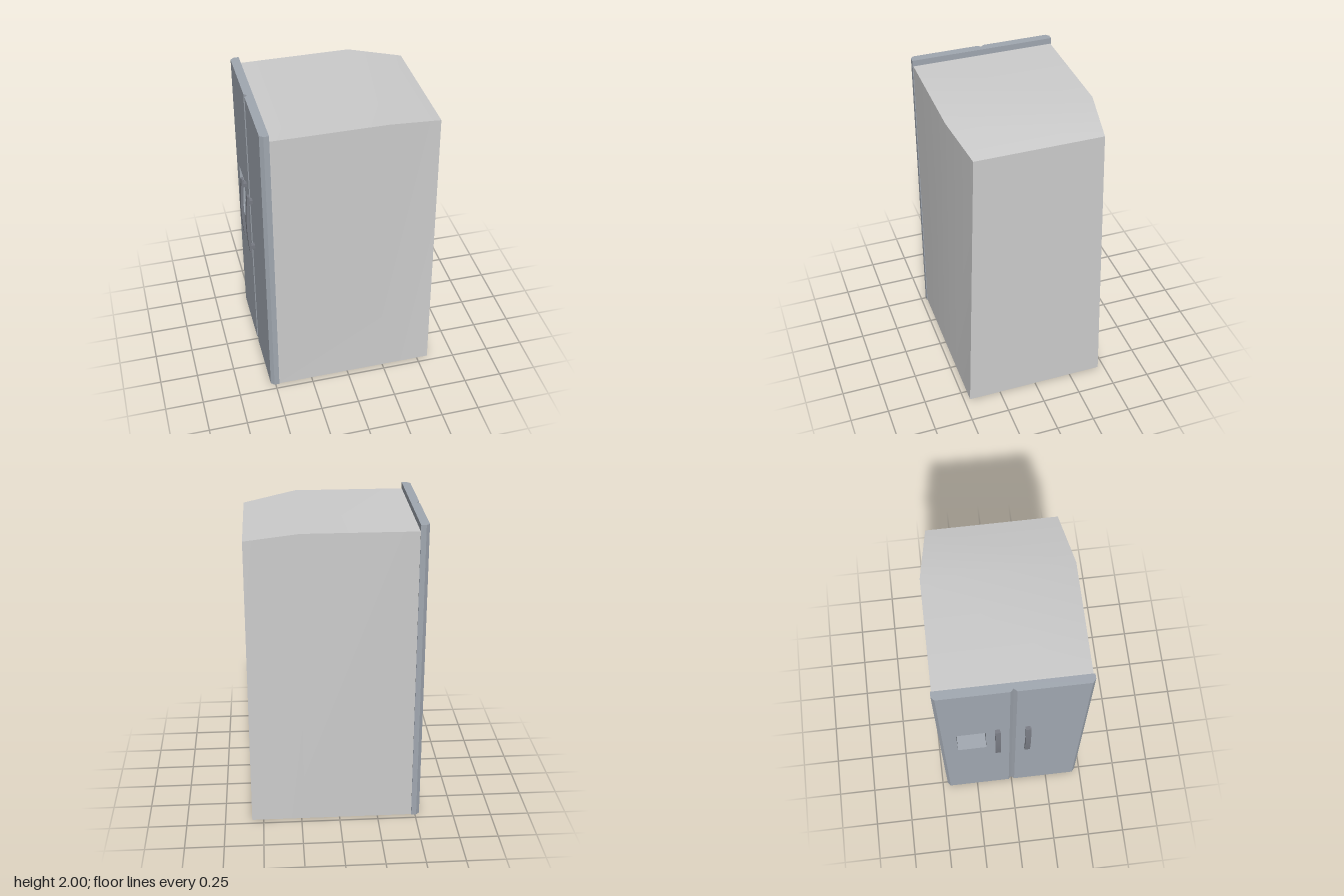
import * as THREE from 'three';
import { toCreasedNormals } from 'three/addons/utils/BufferGeometryUtils.js';

const bodyMat = new THREE.MeshStandardMaterial({ color: 0xcccccc });
const doorMat = new THREE.MeshStandardMaterial({ color: 0xa0a7b0 });
const handleMat = new THREE.MeshStandardMaterial({ color: 0x777a82 });

const FRONT = -0.53, BACK = -0.475; // door faces along x
const polygon = (pts) => new THREE.Shape(pts.map(([a, b]) => new THREE.Vector2(a, b)));
const rect = (a0, a1, b0, b1) => [[a0, b0], [a1, b0], [a1, b1], [a0, b1]];

function add(parent, name, geometry, material) {
  const mesh = new THREE.Mesh(geometry, material);
  mesh.name = name;
  parent.add(mesh);
  return mesh;
}

// Extrude a (z, y) shape towards -x, starting at xBack
function extrudeX(shape, depth, xBack) {
  return new THREE.ExtrudeGeometry(shape, { depth, bevelEnabled: false })
    .rotateY(-Math.PI / 2).translate(xBack, 0, 0);
}

// Extrude an (x, z) outline from y = 0 up to the given height
function extrudeY(pts, height) {
  return new THREE.ExtrudeGeometry(polygon(pts), { depth: height, bevelEnabled: false })
    .rotateX(Math.PI / 2).translate(0, height, 0);
}

// Cabinet shell: rectangular sections along x, narrowing at the upper rear
function cabinetGeometry() {
  const sections = [[BACK, 0.46, 1.96], [0.235, 0.46, 1.96], [0.575, 0.4, 1.9]]; // x, half top width, height
  const pos = [], index = [];
  for (const [x, w, h] of sections) pos.push(x, 0, 0.46, x, h, w, x, h, -w, x, 0, -0.46);
  for (let s = 0; s < 2; s++) {
    for (let i = 0; i < 4; i++) {
      const a = s * 4 + i, b = s * 4 + (i + 1) % 4;
      index.push(a, a + 4, b + 4, a, b + 4, b);
    }
  }
  index.push(8, 11, 10, 8, 10, 9); // rear panel
  const geo = new THREE.BufferGeometry();
  geo.setAttribute('position', new THREE.Float32BufferAttribute(pos, 3));
  geo.setIndex(index);
  return toCreasedNormals(geo, 0.5);
}

// Bowed grip with two mounting posts, centred on z = 0
function makeHandle(name) {
  const handle = new THREE.Group();
  handle.name = name;
  const outer = [], inner = [];
  const N = 10;
  for (let i = 0; i <= N; i++) {
    const t = (i / N) * 2 - 1, y = 1.105 + 0.225 * t;
    outer.push([-0.577 + 0.014 * t * t, y]);
    inner.unshift([-0.56 + 0.011 * t * t, y]);
  }
  const grip = new THREE.ExtrudeGeometry(polygon([...inner, ...outer]), { depth: 0.035, bevelEnabled: false });
  add(handle, 'grip', toCreasedNormals(grip.translate(0, 0, -0.0175), 0.5), handleMat);
  for (const y of [0.925, 1.285]) {
    add(handle, 'post', new THREE.BoxGeometry(0.035, 0.026, 0.03), handleMat).position.set(-0.541, y, 0);
  }
  return handle;
}

export function createModel() {
  const model = new THREE.Group();
  model.name = 'refrigerator';
  add(model, 'cabinet', cabinetGeometry(), bodyMat);

  // Door panels, one with the dispenser opening
  const opening = rect(-0.355, -0.17, 0.93, 1.255);
  const freezer = polygon(rect(-0.445, -0.02, 0, 2));
  freezer.holes.push(polygon(opening));
  add(model, 'dispenserDoor', extrudeX(freezer, BACK - FRONT, BACK), doorMat);
  add(model, 'plainDoor', extrudeX(polygon(rect(0.02, 0.445, 0, 2)), BACK - FRONT, BACK), doorMat);

  // Bevelled outer door edges and the V groove between the doors
  for (const s of [-1, 1]) {
    add(model, 'doorEdge', extrudeY(
      [[BACK, s * 0.445], [FRONT, s * 0.445], [-0.508, s * 0.465], [BACK, s * 0.465]], 2), doorMat);
  }
  add(model, 'doorGroove', extrudeY(
    [[BACK, -0.02], [FRONT, -0.02], [-0.512, 0], [FRONT, 0.02], [BACK, 0.02]], 2), doorMat);

  // Dispenser recess behind the opening
  const liner = polygon(rect(-0.365, -0.16, 0.92, 1.265));
  liner.holes.push(polygon(opening));
  add(model, 'dispenserLiner', extrudeX(liner, 0.06, -0.415), doorMat);
  add(model, 'dispenserBack', new THREE.BoxGeometry(0.01, 0.345, 0.205), doorMat)
    .position.set(-0.41, 1.0925, -0.2625);

  // Handles either side of the groove
  for (const [name, z] of [['dispenserDoorHandle', -0.097], ['plainDoorHandle', 0.093]]) {
    const handle = makeHandle(name);
    handle.position.z = z;
    model.add(handle);
  }
  return model;
}
